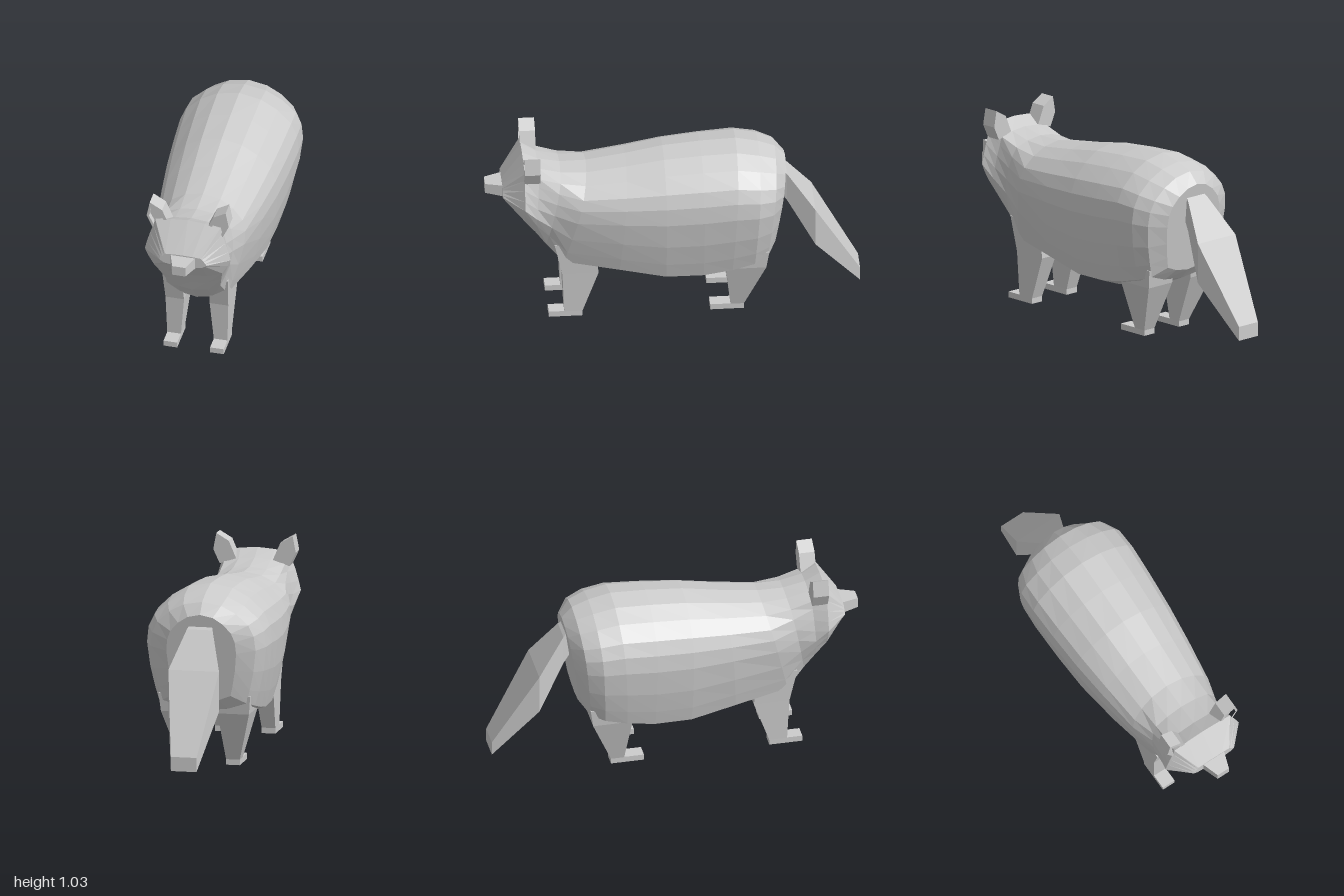
import * as THREE from 'three';

const material = new THREE.MeshStandardMaterial({ color: 0xcccccc, flatShading: true });

function add(parent, name, geometry) {
  const mesh = new THREE.Mesh(geometry, material);
  mesh.name = name;
  parent.add(mesh);
  return mesh;
}

// Skin a list of equal-length rings of [x, y, z] and close both ends with fans.
// Each ring runs clockwise as seen from outside the first end.
function loft(rings) {
  const n = rings[0].length;
  const pos = rings.flat(2);
  const index = [];
  for (let i = 0; i < rings.length - 1; i++) {
    for (let j = 0; j < n; j++) {
      const k = (j + 1) % n;
      const a = i * n + j, b = i * n + k, c = b + n, d = a + n;
      index.push(a, b, c, a, c, d);
    }
  }
  const last = (rings.length - 1) * n;
  for (const start of [0, last]) {
    const ring = rings[start / n];
    const centre = pos.length / 3;
    for (let k = 0; k < 3; k++) pos.push(ring.reduce((s, p) => s + p[k], 0) / n);
    for (let j = 0; j < n; j++) {
      const a = start + j, b = start + (j + 1) % n;
      if (start === 0) index.push(centre, b, a);
      else index.push(centre, a, b);
    }
  }
  const g = new THREE.BufferGeometry();
  g.setAttribute('position', new THREE.Float32BufferAttribute(pos, 3));
  g.setIndex(index);
  g.computeVertexNormals();
  return g;
}

// Half cross-sections from top to bottom: [width fraction, height fraction]
const TRUNK = [[0, 1], [0.36, 0.97], [0.64, 0.9], [0.87, 0.8], [0.97, 0.7], [1, 0.57],
  [0.95, 0.37], [0.87, 0.2], [0.8, 0.08], [0.45, 0.025], [0, 0]];
const HEAD = [[0, 1], [0.4, 0.98], [0.76, 0.94], [0.8, 0.83], [0.88, 0.68], [0.95, 0.52],
  [1, 0.38], [0.93, 0.27], [0.8, 0.12], [0.45, 0.03], [0, 0]];

// One body ring, tilted between its top and bottom points
function bodyRing([topZ, topY, botZ, botY, halfWidth, head, taper]) {
  const { lerp } = THREE.MathUtils;
  const half = TRUNK.map(([u, v], i) => {
    const w = lerp(u, HEAD[i][0], head);
    const h = lerp(v, HEAD[i][1], head);
    return [w * halfWidth * lerp(taper, 1, h), lerp(botY, topY, h), lerp(botZ, topZ, h)];
  });
  const mirrored = half.slice(1, -1).reverse().map(([x, y, z]) => [-x, y, z]);
  return [...half, ...mirrored];
}

// Level rectangle for legs
const levelRect = (y, x0, x1, z0, z1) => [[x0, y, z0], [x1, y, z0], [x1, y, z1], [x0, y, z1]];
// Upright rectangle for snout and tail
const uprightRect = (z, w, y0, y1) => [[-w, y1, z], [w, y1, z], [w, y0, z], [-w, y0, z]];

function addLeg(parent, name, side, sections, footBack, footFront) {
  const leg = new THREE.Group();
  leg.name = name;
  add(leg, 'shank', loft(sections.map(([y, a, b, z0, z1]) =>
    side > 0 ? levelRect(y, a, b, z0, z1) : levelRect(y, -b, -a, z0, z1))));
  const foot = add(leg, 'foot', new THREE.BoxGeometry(0.075, 0.032, footFront - footBack));
  foot.position.set(side * 0.1275, 0.016, (footBack + footFront) / 2);
  parent.add(leg);
}

function addEar(parent, name, side) {
  const outline = [[0.1, 0.895], [0.14, 0.988], [0.208, 1.028], [0.225, 0.94], [0.19, 0.865]];
  const hollow = [[0.13, 0.92], [0.153, 0.968], [0.203, 0.995], [0.212, 0.94], [0.186, 0.89]];
  const points = (list) => list.map(([x, y]) => new THREE.Vector2(side * x, y));
  const ear = new THREE.Group();
  ear.name = name;
  const back = new THREE.Shape(points(outline));
  const rim = new THREE.Shape(points(outline));
  rim.holes.push(new THREE.Path(points(hollow)));
  add(ear, 'earBack', new THREE.ExtrudeGeometry(back, { depth: 0.055, bevelEnabled: false }))
    .position.z = 0.718;
  add(ear, 'earRim', new THREE.ExtrudeGeometry(rim, { depth: 0.03, bevelEnabled: false }))
    .position.z = 0.773;
  parent.add(ear);
}

export function createModel() {
  const model = new THREE.Group();
  model.name = 'animal';

  // Head and trunk in one skin, from face to rump:
  // [top z, top y, bottom z, bottom y, half width, head blend, lower taper]
  const body = [
    [0.91, 0.79, 0.91, 0.718, 0.13, 1, 1],
    [0.8, 0.945, 0.8, 0.585, 0.235, 1, 1],
    [0.72, 0.903, 0.745, 0.5, 0.222, 0.9, 0.95],
    [0.6, 0.878, 0.69, 0.41, 0.24, 0.5, 0.75],
    [0.46, 0.88, 0.6, 0.3, 0.27, 0, 0.75],
    [0.25, 0.912, 0.3, 0.262, 0.288, 0, 0.95],
    [0.05, 0.95, 0.05, 0.215, 0.308, 0, 1],
    [-0.15, 0.968, -0.15, 0.22, 0.322, 0, 1],
    [-0.34, 0.976, -0.3, 0.25, 0.33, 0, 1],
    [-0.46, 0.95, -0.42, 0.285, 0.325, 0, 1],
    [-0.55, 0.915, -0.49, 0.315, 0.285, 0, 1],
    [-0.605, 0.855, -0.535, 0.37, 0.19, 0, 1],
  ];
  add(model, 'body', loft(body.map(bodyRing)));

  // Snout tapering to the nose
  add(model, 'snout', loft([
    uprightRect(1, 0.036, 0.722, 0.778),
    uprightRect(0.9, 0.07, 0.715, 0.783),
  ]));

  // Flat tail, wide in the middle
  add(model, 'tail', loft([
    uprightRect(-0.57, 0.055, 0.66, 0.81),
    uprightRect(-0.61, 0.07, 0.61, 0.775),
    uprightRect(-0.756, 0.138, 0.365, 0.582),
    uprightRect(-1, 0.07, 0.083, 0.16),
  ]));

  // Leg sections from top down: [y, inner x, outer x, back z, front z]
  const frontLeg = [[0.46, 0.08, 0.18, 0.42, 0.64], [0.27, 0.07, 0.172, 0.405, 0.598],
    [0.03, 0.09, 0.165, 0.49, 0.587]];
  const hindLeg = [[0.4, 0.06, 0.25, -0.5, -0.25], [0.3, 0.068, 0.24, -0.485, -0.27],
    [0.03, 0.09, 0.165, -0.372, -0.3]];
  for (const [label, side] of [['left', 1], ['right', -1]]) {
    addLeg(model, label + 'FrontLeg', side, frontLeg, 0.49, 0.67);
    addLeg(model, label + 'HindLeg', side, hindLeg, -0.372, -0.192);
    addEar(model, label + 'Ear', side);
  }

  return model;
}
